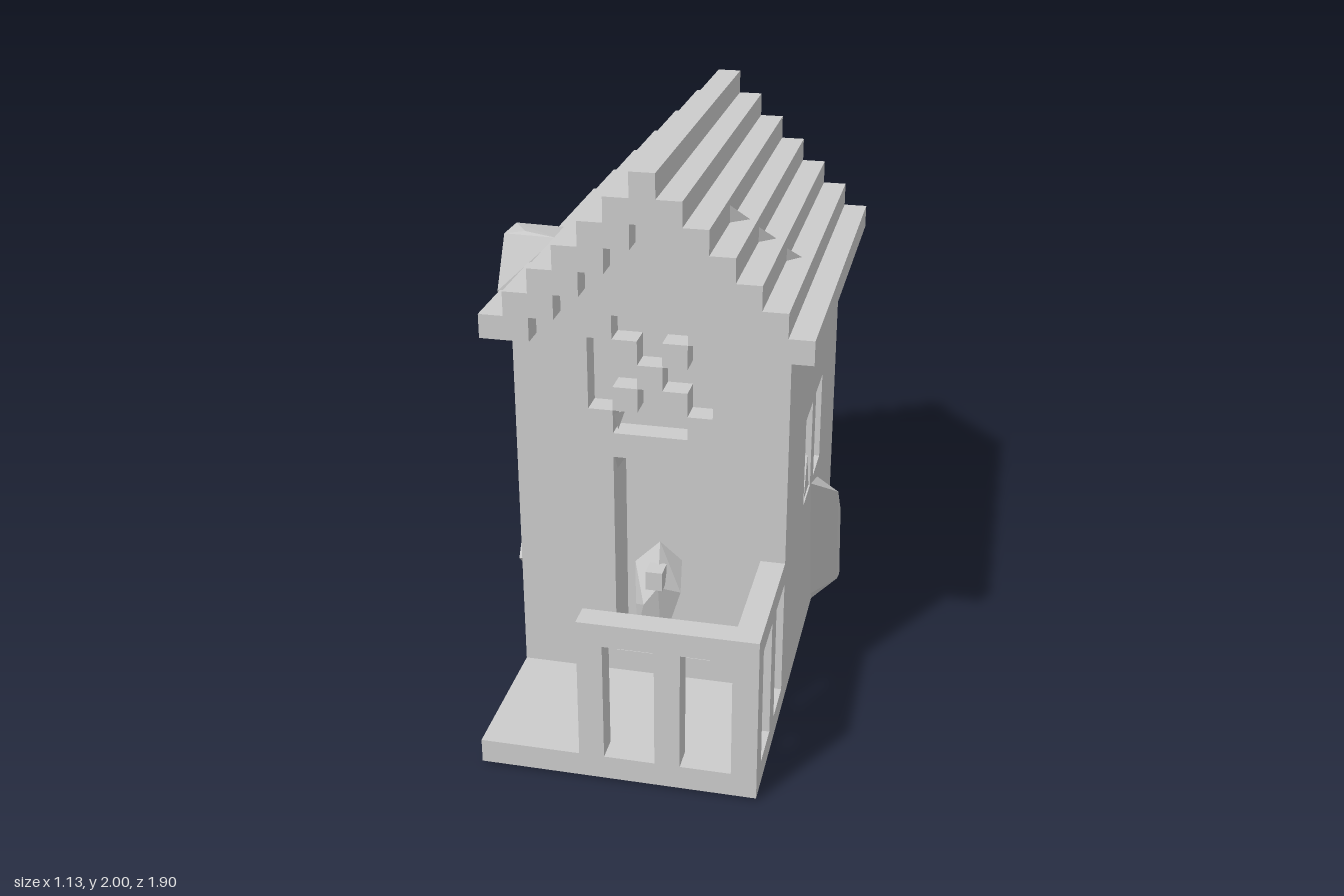
import * as THREE from 'three';
import { ConvexGeometry } from 'three/addons/geometries/ConvexGeometry.js';

const U = 0.0865;               // one block of the stepped grid
const mat = new THREE.MeshStandardMaterial({ color: 0xcccccc, flatShading: true });

// x position of the n-th half-step from the middle
const step = (n) => (n + 0.5) * U;

export function createModel() {
  const house = new THREE.Group();
  house.name = 'house';

  const add = (name, geometry, parent = house) => {
    const mesh = new THREE.Mesh(geometry, mat);
    mesh.name = name;
    parent.add(mesh);
    return mesh;
  };
  const group = (name) => {
    const g = new THREE.Group();
    g.name = name;
    house.add(g);
    return g;
  };
  // box given by its limits
  const box = (name, x0, x1, y0, y1, z0, z1, parent) => {
    const m = add(name, new THREE.BoxGeometry(x1 - x0, y1 - y0, z1 - z0), parent);
    m.position.set((x0 + x1) / 2, (y0 + y1) / 2, (z0 + z1) / 2);
    return m;
  };
  const points = (list) => list.map(([x, y]) => new THREE.Vector2(x, y));
  const rect = (x0, x1, y0, y1) => new THREE.Path(points([[x0, y0], [x1, y0], [x1, y1], [x0, y1]]));
  const slab = (outline, holes, z0, z1) => {
    const shape = new THREE.Shape(points(outline));
    shape.holes.push(...holes);
    const g = new THREE.ExtrudeGeometry(shape, { depth: z1 - z0, bevelEnabled: false });
    return g.translate(0, 0, z0);
  };
  const rock = (name, list, parent) =>
    add(name, new ConvexGeometry(list.map((p) => new THREE.Vector3(...p))), parent);

  // stair-stepped line from the right eave over the ridge to the left eave
  const stairs = (count, ridgeY) => {
    const right = [];
    for (let n = count; n >= 0; n--) {
      const y = ridgeY - n * U * 0.997;
      right.push([step(n), y]);
      if (n > 0) right.push([step(n - 1), y]);
    }
    return [...right, ...right.map(([x, y]) => [-x, y]).reverse()];
  };
  const gable = (count) => {
    const w = step(count);
    return [[-w, 0.01], [w, 0.01], ...stairs(count, 1.828)];
  };

  // walls: solid core, two front layers with openings, side layers with windows
  const walls = group('walls');
  const zFront = 0.433, zBack = -0.863;
  const door = () => rect(-0.13, 0.216, 0.18, 0.96);
  const upperWindow = new THREE.Path(points([
    [-0.13, 1.05], [0.13, 1.05], [0.13, 1.135], [0.216, 1.135], [0.216, 1.395], [0.13, 1.395],
    [0.13, 1.48], [-0.13, 1.48], [-0.13, 1.395], [-0.216, 1.395], [-0.216, 1.135], [-0.13, 1.135],
  ]));
  add('frontWall', slab(gable(5), [door(), upperWindow], zFront - U, zFront), walls);
  add('doorFrame', slab(gable(5), [door()], zFront - 2 * U, zFront - U), walls);
  add('core', slab(gable(4), [], zBack, zFront - 2 * U), walls);
  const zSide = zFront - 2 * U;
  for (const s of [1, -1]) {
    const g = slab(
      [[-zSide, 0.01], [-zBack, 0.01], [-zBack, 1.397], [-zSide, 1.397]],
      [rect(0, 0.173, 0.613, 0.96), rect(0.258, 0.432, 0.613, 0.96)],
      -U / 2, U / 2);
    add(s > 0 ? 'leftWall' : 'rightWall', g.rotateY(Math.PI / 2).translate(s * step(4.5), 0, 0), walls);
  }

  // crossed blocks in the upper window
  const lattice = group('windowLattice');
  for (const [i, j] of [[0, 0], [1, 1], [1, -1], [-1, 1], [-1, -1]]) {
    const x = i * U, y = 1.265 + j * U;
    box('latticeBlock', x - U / 2, x + U / 2, y - U / 2, y + U / 2, zFront - U, zFront, lattice);
  }

  // stepped roof, two blocks thick
  const top = stairs(6, 2);
  const under = stairs(5, 1.828).reverse();
  const eave = 1.397;
  add('roof', slab([...top, [-step(6), eave], ...under, [step(6), eave]], [], -0.95, 0.52));

  // porch floor and railing
  const porch = group('porch');
  const w = step(5);
  box('porchFloor', -w, w, 0.01, 0.096, zFront, 0.95, porch);
  for (const x of [-0.13, 0.13, w - U]) {
    box('frontPost', x, x + U, 0.096, 0.53, 0.95 - U, 0.95, porch);
  }
  box('sidePost', w - U, w, 0.096, 0.53, 0.606, 0.606 + U, porch);
  box('frontRail', -0.13, w, 0.53, 0.613, 0.95 - U, 0.95, porch);
  box('sideRail', w - U, w, 0.53, 0.613, zFront, 0.95 - U, porch);

  // boulder leaning on the left wall
  const rocks = group('rocks');
  rock('leftBoulder', [
    [0.47, 0.613, -0.19], [0.47, 0.54, -0.4], [0.5, 0.47, -0.46], [0.565, 0.5, -0.36],
    [0.565, 0.36, -0.48], [0.565, 0.02, -0.55], [0.55, 0, -0.54], [0.565, 0.05, -0.46],
    [0.47, 0.045, -0.32], [0.47, 0, -0.36], [0.47, 0, -0.54],
  ], rocks);
  // slanted boulder on the right wall
  rock('rightBoulder', [
    [-0.47, 0.61, 0.065], [-0.57, 0.53, 0.09], [-0.57, 0.37, 0.19], [-0.47, 0.4, 0.22],
    [-0.57, 0.02, -0.16], [-0.47, 0, -0.12], [-0.57, 0, -0.4], [-0.57, 0.13, -0.52],
    [-0.47, 0.16, -0.52], [-0.47, 0, -0.42],
  ], rocks);
  // boulder through the right eave
  rock('eaveBoulder', [
    [-0.57, 1.655, 0.19], [-0.5, 1.662, 0.17], [-0.39, 1.645, 0.17], [-0.57, 1.65, 0.05],
    [-0.57, 1.5, -0.07], [-0.39, 1.57, -0.17], [-0.39, 1.5, 0.21], [-0.57, 1.48, 0.29],
    [-0.57, 1.4, 0.24], [-0.57, 1.33, -0.13], [-0.57, 1.32, 0.03], [-0.47, 1.26, -0.1],
    [-0.47, 1.26, 0.02], [-0.47, 1.4, 0.2],
  ], rocks);
  // rock in the doorway with a small block on it
  rock('doorRock', [
    [-0.05, 0.4, 0.46], [-0.05, 0.28, 0.44], [0.045, 0.24, 0.47], [0.11, 0.46, 0.45],
    [0.04, 0.5, 0.5], [-0.01, 0.43, 0.51], [0.03, 0.64, 0.42], [-0.06, 0.55, 0.42],
    [0.1, 0.55, 0.38], [0, 0.28, 0.35], [-0.05, 0.5, 0.35],
  ], rocks);
  box('doorRockBlock', 0, 0.06, 0.5, 0.57, 0.45, 0.52, rocks);

  // rubble on the window sills and a shard poking out to the right
  rock('sillShard', [
    [0.47, 0.77, -0.11], [0.44, 0.73, -0.172], [0.47, 0.615, -0.172],
    [0.47, 0.615, -0.05], [0.4, 0.615, -0.05], [0.4, 0.67, -0.172],
  ], rocks);
  rock('sillRubble', [
    [0.46, 0.69, -0.26], [0.46, 0.615, -0.26], [0.46, 0.615, -0.39], [0.4, 0.615, -0.26],
  ], rocks);
  rock('windowShard', [
    [-0.525, 0.955, -0.08], [-0.4, 0.8, -0.15], [-0.4, 0.9, -0.02],
    [-0.4, 0.95, -0.14], [-0.47, 0.88, -0.06], [-0.47, 0.95, -0.13],
  ], rocks);

  // shards in the corners of the upper window and door
  rock('upperShard', [
    [-0.13, 1.115, 0.42], [-0.1, 1.115, 0.38], [-0.12, 1.05, 0.4], [-0.13, 1.06, 0.36],
  ], rocks);
  rock('doorShard', [
    [-0.13, 0.96, 0.42], [-0.085, 0.96, 0.36], [-0.13, 0.89, 0.38], [-0.13, 0.96, 0.32],
  ], rocks);

  // splinters on three steps of the left roof slope
  for (let i = 0; i < 3; i++) {
    const x = step(2 + i), y = 1.742 - i * U, z = 0.17 - i * 0.075, r = 0.06 - i * 0.007;
    rock('roofSplinter', [
      [x, y + r, z], [x, y, z], [x + r, y, z - 0.05], [x, y, z - 0.05],
    ], rocks);
  }
  return house;
}
